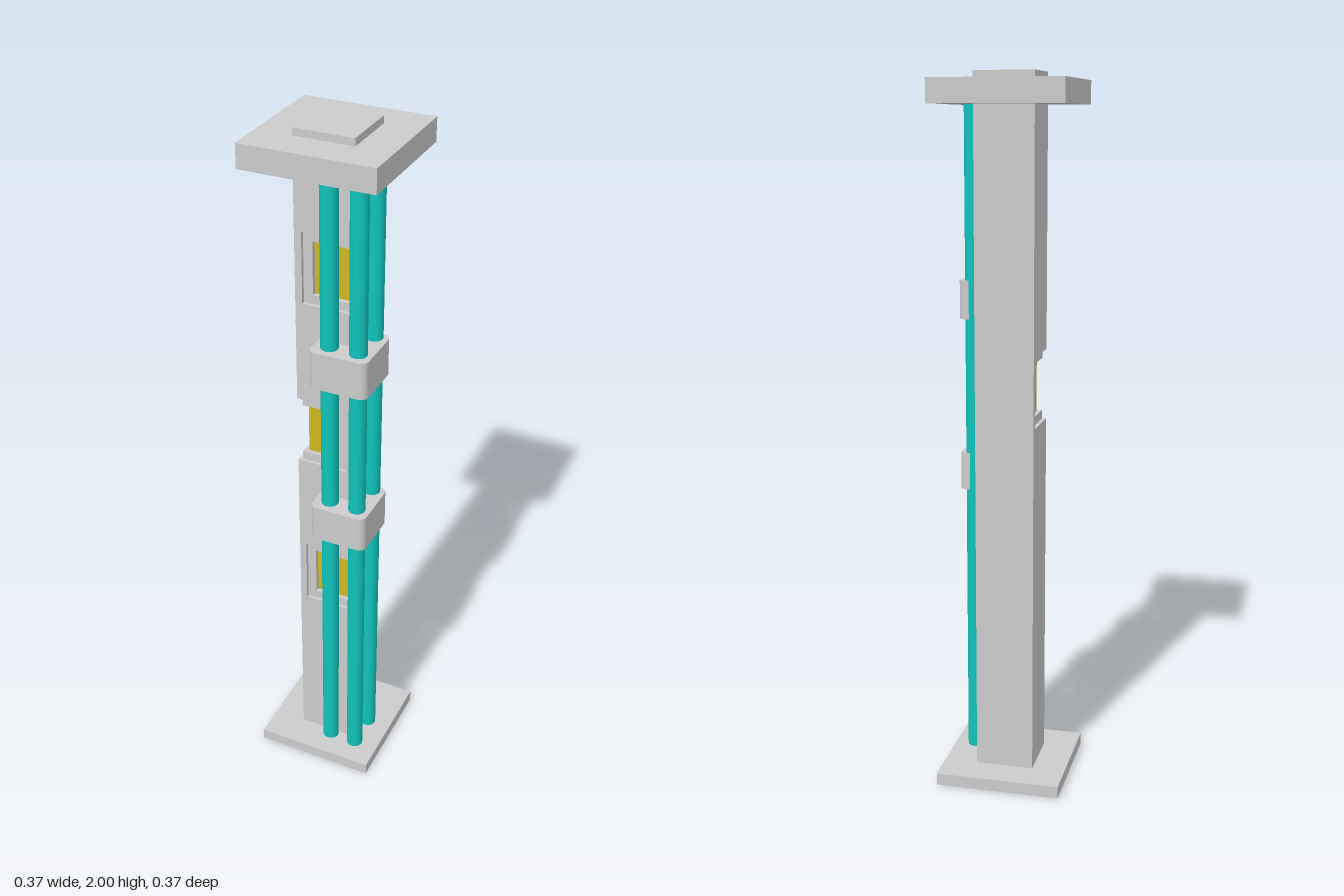
import * as THREE from 'three';

const grey = new THREE.MeshStandardMaterial({ color: 0xcccccc });
const teal = new THREE.MeshStandardMaterial({ color: 0x10c4bc });
const yellow = new THREE.MeshStandardMaterial({ color: 0xcdb81f });

const H = 0.083;      // column half width
const FRAME = 0.073;  // depth of the recessed frame
const LAMP = 0.06;    // depth of the lamp face

export function createModel() {
  const model = new THREE.Group();

  const add = (name, geometry, material, x = 0, y = 0, z = 0) => {
    const mesh = new THREE.Mesh(geometry, material);
    mesh.name = name;
    mesh.position.set(x, y, z);
    model.add(mesh);
    return mesh;
  };

  const box = (name, w, y0, y1, material = grey, x = 0, z = 0) =>
    add(name, new THREE.BoxGeometry(w, y1 - y0, w), material, x, (y0 + y1) / 2, z);

  // Extrudes a floor plan upwards from y0 to y1
  const extrudeUp = (name, shape, y0, y1, x = 0, z = 0) => {
    const geometry = new THREE.ExtrudeGeometry(shape, { depth: y1 - y0, bevelEnabled: false, curveSegments: 6 });
    geometry.rotateX(-Math.PI / 2);
    return add(name, geometry, grey, x, y0, z);
  };

  // Column plan with stepped cuts [start, depth] around one front corner
  const notchedPlan = (side, cuts) => {
    const right = [], front = [];
    let edge = H;
    for (const [start, depth] of cuts) {
      right.push([edge, start], [depth, start]);
      front.unshift([start, depth], [start, edge]);
      edge = depth;
    }
    const points = [[-H, -H], [H, -H], ...right, [edge, edge], ...front, [-H, H]];
    return new THREE.Shape(points.map(([x, z]) => new THREE.Vector2(side * x, -z)));
  };

  // Base, top plate and cap
  box('base', 0.356, 0, 0.035);
  box('topPlate', 0.366, 1.915, 1.98);
  box('cap', 2 * H, 1.98, 2);

  // Column with corner windows, alternating between the two front corners
  const outer = [[-0.063, FRAME]];
  const inner = [...outer, [-0.037, LAMP - 0.004]];
  let bottom = 0.035;
  for (const [y, side] of [[0.655, 1], [1.145, -1], [1.635, 1]]) {
    box('column', 2 * H, bottom, y - 0.1);
    extrudeUp('windowFrame', notchedPlan(side, outer), y - 0.1, y - 0.075);
    extrudeUp('windowRecess', notchedPlan(side, inner), y - 0.075, y + 0.075);
    extrudeUp('windowFrame', notchedPlan(side, outer), y + 0.075, y + 0.1);
    const size = LAMP + 0.037, mid = (LAMP - 0.037) / 2;
    box('lamp', size, y - 0.075, y + 0.075, yellow, side * mid, mid);
    bottom = y + 0.1;
  }
  box('column', 2 * H, bottom, 1.915);

  // Pipes around the left front corner
  const pipe = new THREE.CylinderGeometry(0.024, 0.024, 1.865, 24);
  for (const [x, z] of [[0.027, 0.11], [0.109, 0.111], [0.109, 0.011]]) {
    add('pipe', pipe, teal, x, 0.05 + 1.865 / 2, z);
  }

  // Clamps with rounded upright edges
  const c = 0.082, r = 0.02;
  const clamp = new THREE.Shape();
  clamp.absarc(c - r, c - r, r, 0, Math.PI / 2);
  clamp.absarc(r - c, c - r, r, Math.PI / 2, Math.PI);
  clamp.absarc(r - c, r - c, r, Math.PI, Math.PI * 1.5);
  clamp.absarc(c - r, r - c, r, Math.PI * 1.5, Math.PI * 2);
  for (const y of [0.845, 1.335]) extrudeUp('clamp', clamp, y, y + 0.107, 0.066, 0.071);

  return model;
}
